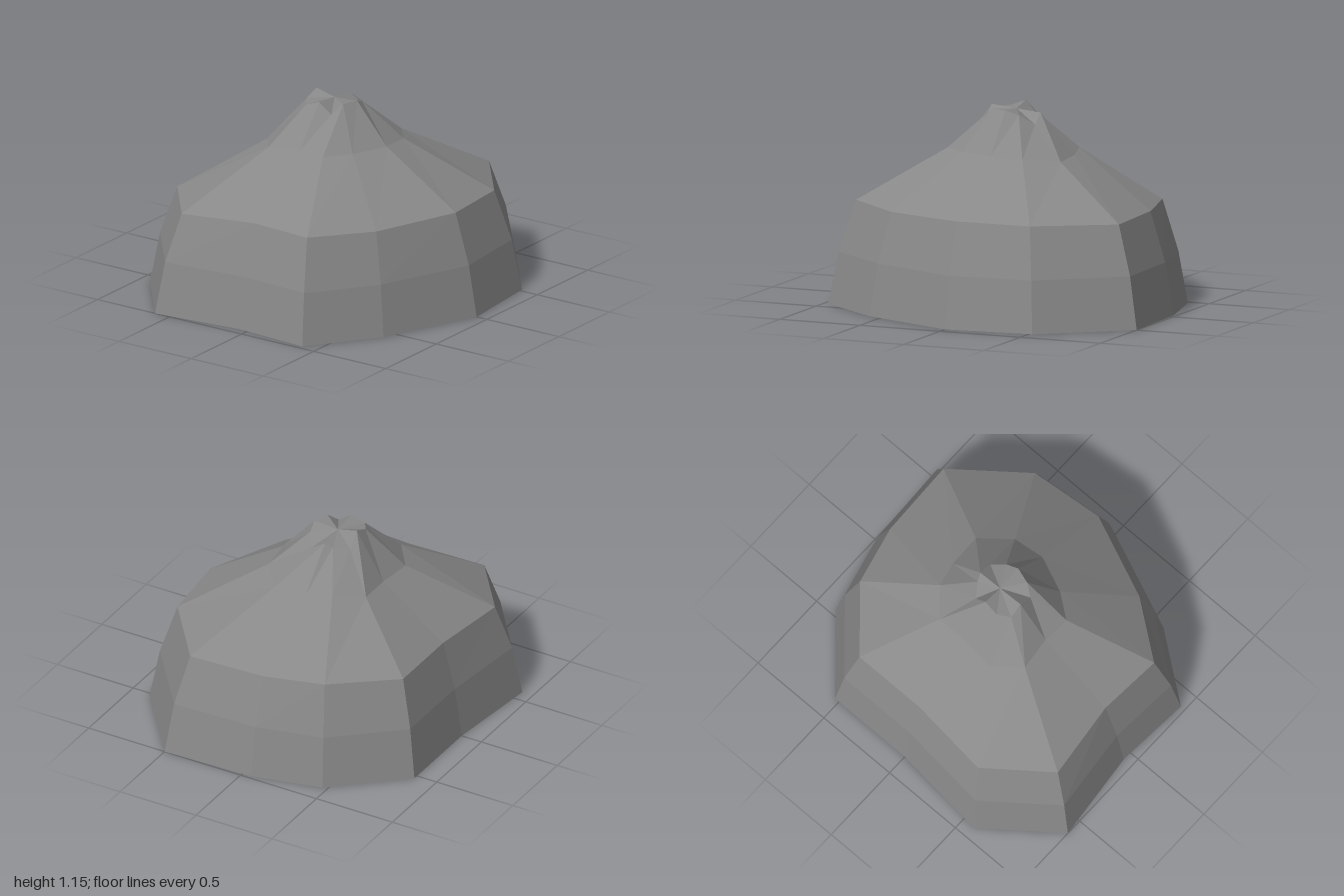
import * as THREE from 'three';

// Hollow, open-bottomed boulder: rings of twelve points [x, y, z], starting at +x and turning toward +z.
const CENTRE_Z = -0.055;
const base = [
  [0.98, -0.055], [1, 0.5], [0.52, 0.88], [0, 0.93], [-0.58, 0.69], [-0.97, 0.4],
  [-0.94, -0.055], [-1, -0.6], [-0.58, -0.93], [0, -0.87], [0.53, -0.87], [0.88, -0.47],
];
const shoulderY = [0.59, 0.585, 0.595, 0.6, 0.59, 0.6, 0.6, 0.575, 0.575, 0.585, 0.585, 0.6];
const neckY = [0.88, 0.87, 0.89, 0.9, 0.9, 0.9, 0.9, 0.89, 0.87, 0.87, 0.87, 0.9];
const crown = [
  [0.15, 1.11, -0.055], [0.155, 1.055, 0.035], [0.075, 1.11, 0.08], [0, 1.135, 0.1],
  [-0.095, 1.135, 0.07], [-0.155, 1.08, 0.03], [-0.155, 1.14, -0.055], [-0.16, 1.11, -0.14],
  [-0.09, 1.12, -0.185], [0, 1.155, -0.18], [0.075, 1.075, -0.18], [0.13, 1.09, -0.1],
];

// Base outline shrunk toward the axis, at a height per point
const ring = (scale, height) => base.map(([x, z], i) =>
  [x * scale, height(i), CENTRE_Z + (z - CENTRE_Z) * scale]);

// Triangles between successive rings
function loft(rings) {
  const n = rings[0].length;
  const index = [];
  for (let r = 0; r < rings.length - 1; r++) {
    for (let i = 0; i < n; i++) {
      const a = r * n + i, b = r * n + (i + 1) % n;
      index.push(a, a + n, b, b, a + n, b + n);
    }
  }
  const geometry = new THREE.BufferGeometry();
  geometry.setAttribute('position', new THREE.Float32BufferAttribute(rings.flat(2), 3));
  geometry.setIndex(index);
  const flat = geometry.toNonIndexed();
  flat.computeVertexNormals();
  return flat;
}

export function createModel() {
  const stone = new THREE.MeshStandardMaterial({ color: 0x888888 });
  stone.name = 'stone grey';
  stone.flatShading = true;
  stone.side = THREE.DoubleSide;

  const shoulder = ring(0.852, i => shoulderY[i]);
  const neck = ring(0.367, i => neckY[i]);
  const apex = base.map(() => [0, 1.125, CENTRE_Z]);

  const model = new THREE.Group();
  model.name = 'boulder';
  const parts = {
    wall: [ring(1, () => 0), ring(0.945, () => 0.3), shoulder],
    slope: [shoulder, neck],
    peak: [neck, crown, apex],
  };
  for (const [name, rings] of Object.entries(parts)) {
    const mesh = new THREE.Mesh(loft(rings), stone);
    mesh.name = name;
    model.add(mesh);
  }
  return model;
}
